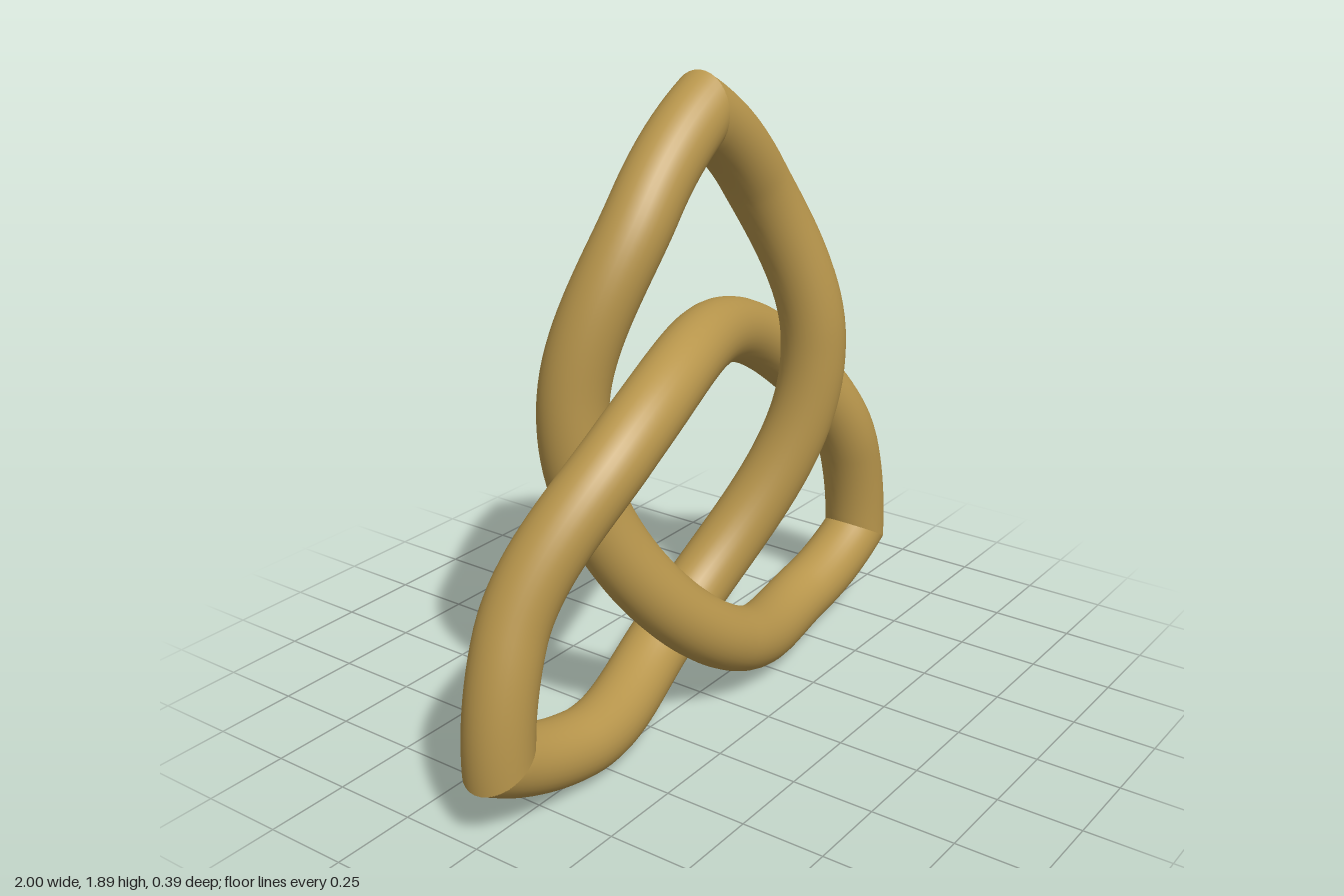
import * as THREE from 'three';

const R = 0.9;          // radius of each semicircular strand
const TUBE = 0.098;     // tube radius
const WEAVE = 0.097;    // depth of the over/under weave
const RAD = Math.PI / 180;
const ss = THREE.MathUtils.smoothstep;

// Depth along a strand: level at the tip, over at 60 degrees, under at 120, level again.
function depth(deg) {
  if (deg > 90) return -depth(180 - deg);
  if (deg < 60) return WEAVE * ss(deg, 21, 58);
  return WEAVE * Math.cos((deg - 60) * 3 * RAD);
}

// Half-circle tube whose ends are mitred at 30 degrees to meet the next strand.
function strandGeometry(steps = 90, sides = 32) {
  const pos = [], index = [];
  for (let i = 0; i <= steps; i++) {
    const deg = (180 * i) / steps;
    const slope = (depth(deg + 0.5) - depth(deg - 0.5)) / (R * RAD);
    const tilt = Math.atan(slope);
    // shear towards the mitre plane, fading out away from each tip
    const shear = Math.max(0, 1 - deg / 25) - Math.max(0, 1 - (180 - deg) / 25);
    for (let j = 0; j < sides; j++) {
      const phi = (2 * Math.PI * j) / sides;
      const out = TUBE * Math.cos(phi);
      const up = TUBE * Math.sin(phi);
      const rho = R + out;
      const along = -up * Math.sin(tilt) - out * Math.tan(30 * RAD) * shear;
      const a = deg * RAD + along / rho;
      pos.push(-rho * Math.cos(a), rho * Math.sin(a) - 0.52, depth(deg) + up * Math.cos(tilt));
      if (i < steps) {
        const k = (j + 1) % sides;
        const p = i * sides + j, q = i * sides + k;
        index.push(p, q, p + sides, q, q + sides, p + sides);
      }
    }
  }
  const g = new THREE.BufferGeometry();
  g.setAttribute('position', new THREE.Float32BufferAttribute(pos, 3));
  g.setIndex(index);
  g.computeVertexNormals();
  return g;
}

export function createModel() {
  const group = new THREE.Group();
  group.name = 'trefoilKnot';
  const gold = new THREE.MeshStandardMaterial({ color: 0xb8964c });
  gold.name = 'antique gold';

  // Three identical interlaced strands about the knot's centre
  const geometry = strandGeometry();
  ['archStrand', 'leftStrand', 'rightStrand'].forEach((name, k) => {
    const strand = new THREE.Mesh(geometry, gold);
    strand.name = name;
    strand.rotation.z = (k * 2 * Math.PI) / 3;
    strand.position.y = 0.74;
    group.add(strand);
  });
  return group;
}
